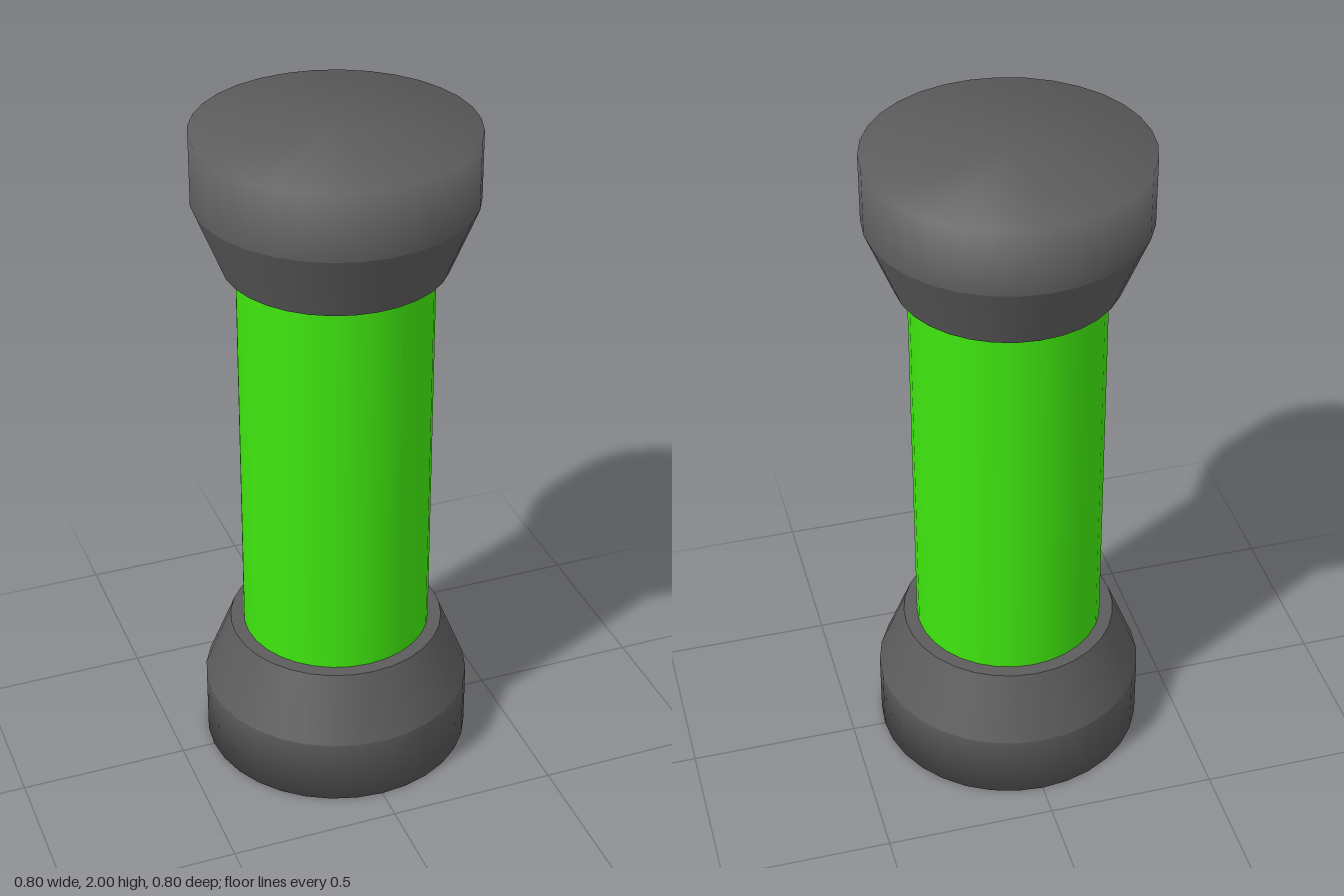
import * as THREE from 'three';

const SIDES = 32;
const darkMat = new THREE.MeshStandardMaterial({ color: 0x5c5c5c });
const greenMat = new THREE.MeshStandardMaterial({ color: 0x3fe60f });

// Turned surface from [radius, height] pairs listed bottom to top
function turned(name, profile, material) {
  const points = profile.map(([r, y]) => new THREE.Vector2(r, y));
  const mesh = new THREE.Mesh(new THREE.LatheGeometry(points, SIDES), material);
  mesh.name = name;
  return mesh;
}

// End cap for the upper end: separate surfaces keep the creases between them sharp
function endCap(name) {
  const cap = new THREE.Group();
  cap.name = name;
  cap.add(
    turned('capLedge', [[0.28, 0.6], [0.32, 0.6]], darkMat),
    turned('capTaper', [[0.32, 0.6], [0.4, 0.8]], darkMat),
    // wall and end disc share a softly shaded rim
    turned('capEnd', [[0.4, 0.8], [0.4, 1], [0, 1]], darkMat)
  );
  return cap;
}

export function createModel() {
  const model = new THREE.Group();
  model.name = 'canister';

  // Glowing tube between the caps
  model.add(turned('tube', [[0.28, 0.4], [0.28, 1.6]], greenMat));

  // Matching caps, the lower one turned upside down
  const topCap = endCap('topCap');
  const bottomCap = endCap('bottomCap');
  topCap.position.y = bottomCap.position.y = 1;
  bottomCap.rotation.x = Math.PI;
  model.add(topCap, bottomCap);

  return model;
}
